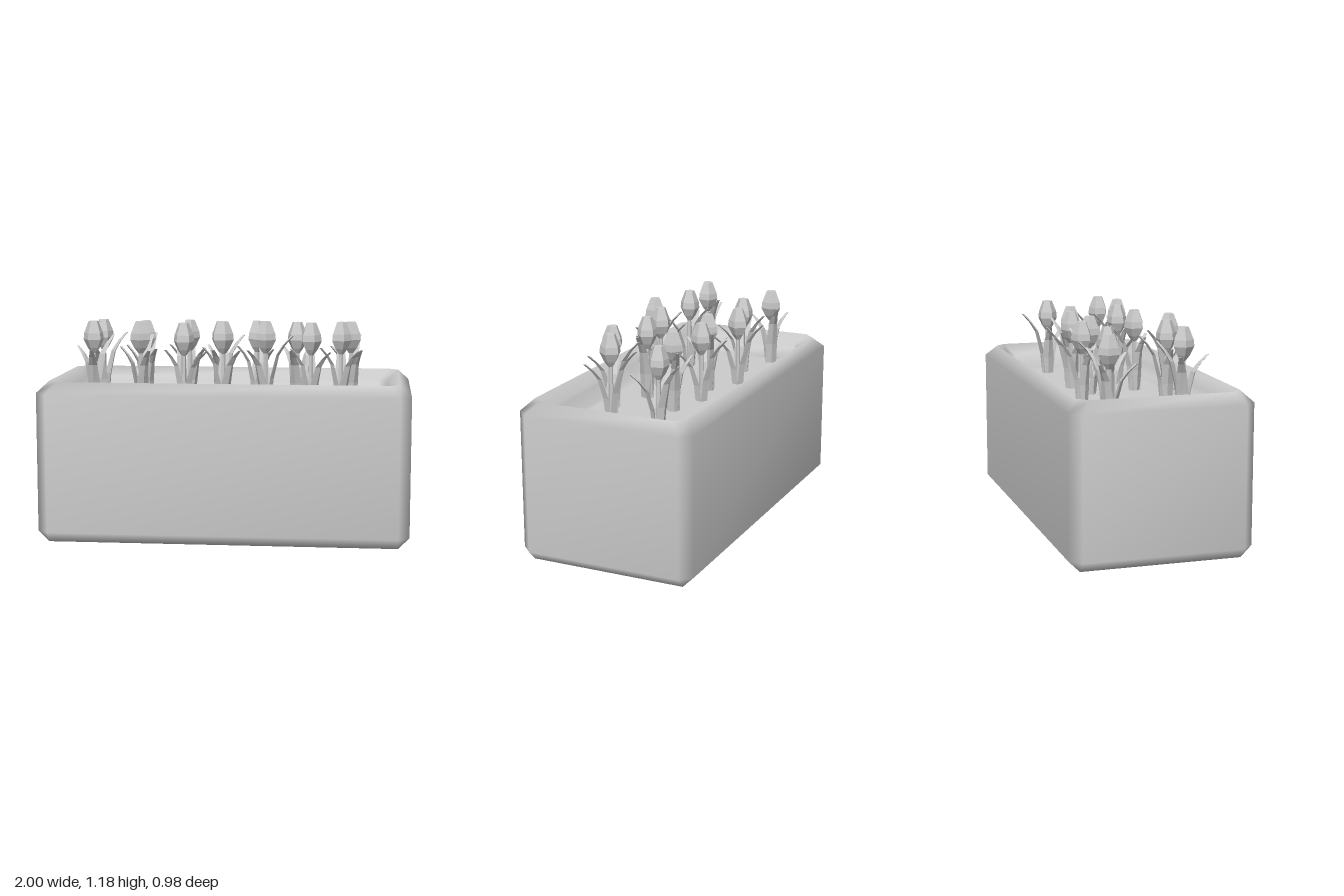
import * as THREE from 'three';
import { mergeVertices } from 'three/addons/utils/BufferGeometryUtils.js';

const smooth = new THREE.MeshStandardMaterial({ color: 0xcccccc });
const faceted = new THREE.MeshStandardMaterial({ color: 0xcccccc, flatShading: true });

// Skin a stack of rings (each running from +x towards +z), optionally capped
function loft(rings, capStart = true, capEnd = true) {
  const n = rings[0].length, last = (rings.length - 1) * n, index = [];
  for (let i = 0; i < rings.length - 1; i++) {
    for (let j = 0; j < n; j++) {
      const a = i * n + j, b = i * n + (j + 1) % n, c = a + n, d = b + n;
      index.push(a, c, b, b, c, d);
    }
  }
  for (let j = 1; j < n - 1; j++) {
    if (capStart) index.push(0, j, j + 1);
    if (capEnd) index.push(last, last + j + 1, last + j);
  }
  const geometry = new THREE.BufferGeometry();
  geometry.setAttribute('position', new THREE.Float32BufferAttribute(rings.flat(2), 3));
  geometry.setIndex(index);
  const merged = mergeVertices(geometry, 1e-4);
  merged.computeVertexNormals();
  return merged;
}

// Rectangle with cut corners, as a ring
function cutRect(hx, hz, cut, y) {
  const x = hx - cut, z = hz - cut;
  return [[hx, y, -z], [hx, y, z], [x, y, hz], [-x, y, hz],
    [-hx, y, z], [-hx, y, -z], [-x, y, -hz], [x, y, -hz]];
}

function add(parent, name, geometry, material = faceted) {
  const mesh = new THREE.Mesh(geometry, material);
  mesh.name = name;
  parent.add(mesh);
  return mesh;
}

// Blade leaning out along +x: radius, height, half width, half thickness, edge curl
function leafGeometry(reach, tip) {
  const base = 0.7, h = tip - base;
  const sections = [
    [0.02, 0, 0.034, 0.008, 0.012],
    [0.17 * reach + 0.012, 0.42, 0.034, 0.008, 0.012],
    [0.46 * reach, 0.74, 0.024, 0.008, 0.008],
    [0.7 * reach, 0.88, 0.017, 0.008, 0.004],
    [reach, 1, 0.009, 0.008, 0],
  ];
  return loft(sections.map(([r, t, w, d, curl]) => {
    const y = base + t * h;
    return [[r + d, y, 0], [r - curl, y, w], [r - d, y, 0], [r - curl, y, -w]];
  }));
}

export function createModel() {
  const model = new THREE.Group();
  model.name = 'tulipPlanter';

  // Planter: bevelled box with a ridged rim stepping down to the soil
  add(model, 'planterBox', loft([
    cutRect(0.94, 0.43, 0, 0),
    cutRect(1, 0.49, 0.06, 0.06),
    cutRect(1, 0.49, 0.06, 0.81),
    cutRect(0.94, 0.43, 0.055, 0.87),
    cutRect(0.88, 0.37, 0.05, 0.81),
    cutRect(0.88, 0.37, 0.05, 0.79),
    cutRect(0.82, 0.31, 0, 0.73),
  ], true, false), smooth);
  const soil = add(model, 'soil', new THREE.PlaneGeometry(1.64, 0.62));
  soil.rotation.x = -Math.PI / 2;
  soil.position.y = 0.73;

  // Shared tulip parts
  const bulb = new THREE.LatheGeometry([
    [0, 1.0], [0.014, 1.005], [0.036, 1.035], [0.058, 1.08],
    [0.054, 1.115], [0.028, 1.18], [0, 1.18],
  ].map(([r, y]) => new THREE.Vector2(r, y)), 5);
  const stem = new THREE.CylinderGeometry(0.012, 0.016, 0.32, 5);
  stem.translate(0, 0.86, 0);
  // Leaf geometry and its turn from the longest leaf, in degrees
  const leaves = [
    [leafGeometry(0.145, 1.1), 0],
    [leafGeometry(0.14, 1.03), 135],
    [leafGeometry(0.11, 1.04), -104],
  ];

  // Tulips: x, z, heading of the longest leaf in degrees
  const tulips = [
    [-0.75, -0.22, -35], [-0.49, -0.15, -76], [-0.25, -0.22, -90], [-0.06, -0.12, -32],
    [0.14, -0.17, -90], [0.37, -0.11, -34], [0.67, -0.17, -70],
    [-0.73, 0.18, -50], [-0.47, 0.18, -72], [-0.22, 0.28, -110], [-0.02, 0.15, -90],
    [0.21, 0.12, -5], [0.46, 0.2, -95], [0.62, 0.13, -90],
  ];
  for (const [x, z, heading] of tulips) {
    const tulip = new THREE.Group();
    tulip.name = 'tulip';
    add(tulip, 'bulb', bulb);
    add(tulip, 'stem', stem);
    for (const [geometry, turn] of leaves) {
      add(tulip, 'leaf', geometry).rotation.y = -THREE.MathUtils.degToRad(turn);
    }
    tulip.position.set(x, z < 0 ? -0.02 : 0, z);
    tulip.rotation.y = -THREE.MathUtils.degToRad(heading);
    model.add(tulip);
  }
  return model;
}
